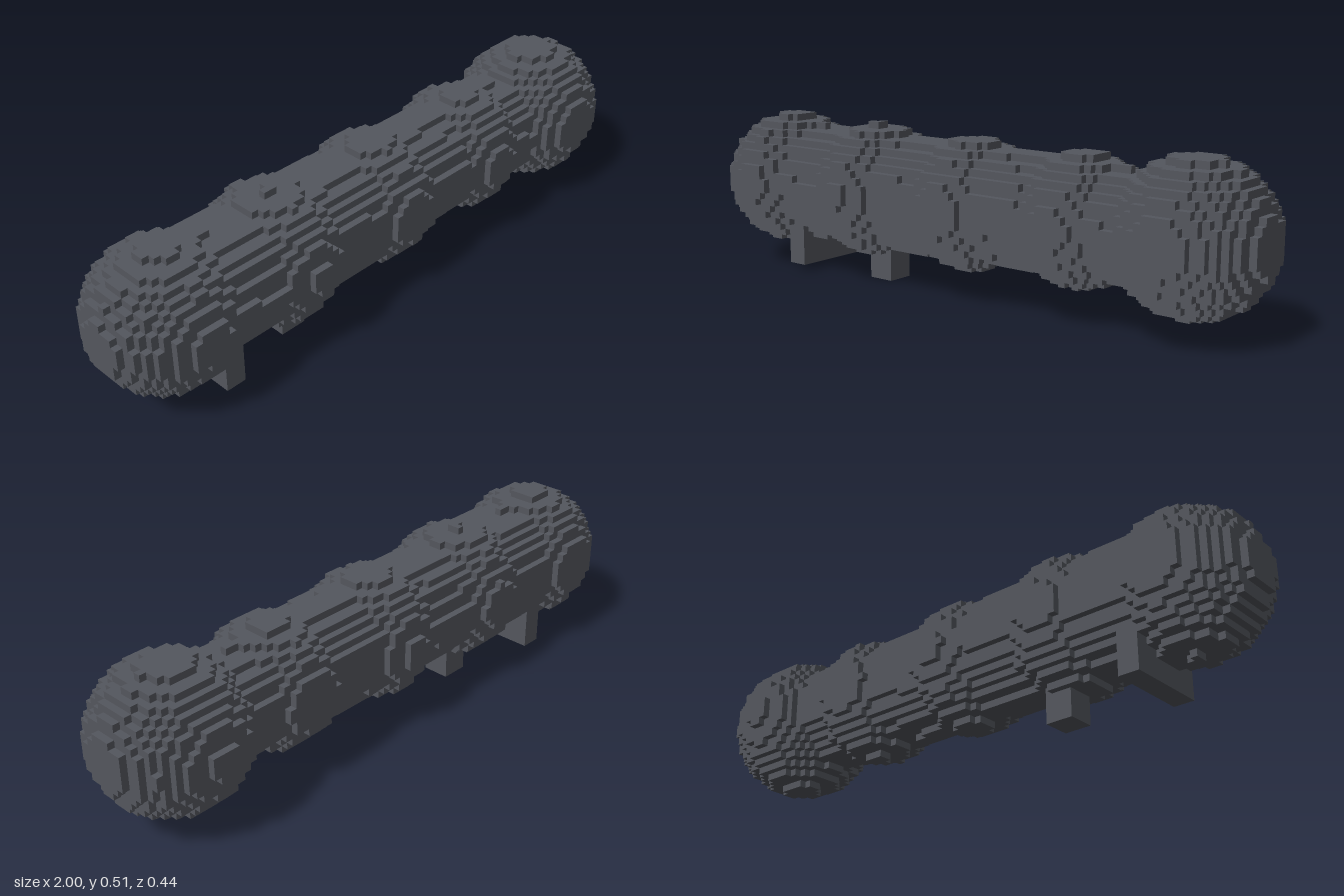
import * as THREE from 'three';

const U = 1 / 45;              // cube size
const CY = 0.292, CZ = 0.006;  // axis of the tube

// Rounded bulges along the tube: centre x, radius, stretch along x
const bulges = [
  { name: 'tailBall', x: -0.783, r: 0.215, s: 1.03 },
  { name: 'rearBulge', x: -0.392, r: 0.209, s: 1 },
  { name: 'middleBulge', x: 0.01, r: 0.2, s: 1 },
  { name: 'frontBulge', x: 0.412, r: 0.195, s: 1 },
  { name: 'headBall', x: 0.777, r: 0.222, s: 1.03 },
];

// Which part fills the cube at a grid cell (-1 empty, 0 tube, 1.. bulges)
function partAt(i, j, k) {
  const x = (i + 0.5) * U, y = (j + 0.5) * U - CY, z = (k + 0.5) * U - CZ;
  const d = Math.hypot(y, z);
  const tubeRadius = 0.1742 - 0.0186 * x;
  if (x > -0.78 && x < 0.77 && d < tubeRadius) return 0;
  return bulges.findIndex((b) => Math.hypot((x - b.x) / b.s, d) < b.r) + 1 || -1;
}

// Adds one square of a cube, facing along an axis
function addFace(positions, cell, axis, sign) {
  const a = (axis + 1) % 3, b = (axis + 2) % 3;
  const corner = (u, v) => {
    const p = [...cell];
    if (sign > 0) p[axis] += 1;
    p[a] += u;
    p[b] += v;
    return p.map((n) => n * U);
  };
  const [p, q, r, s] = [corner(0, 0), corner(1, 0), corner(1, 1), corner(0, 1)];
  const order = sign > 0 ? [p, q, r, p, r, s] : [p, r, q, p, s, r];
  order.forEach((c) => positions.push(...c));
}

export function createModel() {
  const group = new THREE.Group();
  const material = new THREE.MeshStandardMaterial({ color: 0x54575e });
  material.name = 'darkGrey';

  // Stepped tube and bulges: keep only the exposed cube faces
  const names = ['tube', ...bulges.map((b) => b.name)];
  const faces = names.map(() => []);
  for (let i = -45; i < 45; i++)
    for (let j = 0; j < 24; j++)
      for (let k = -11; k < 11; k++) {
        const part = partAt(i, j, k);
        if (part < 0) continue;
        for (let axis = 0; axis < 3; axis++)
          for (const sign of [-1, 1]) {
            const next = [i, j, k];
            next[axis] += sign;
            if (partAt(...next) < 0) addFace(faces[part], [i, j, k], axis, sign);
          }
      }
  names.forEach((name, n) => {
    const geometry = new THREE.BufferGeometry();
    geometry.setAttribute('position', new THREE.Float32BufferAttribute(faces[n], 3));
    geometry.computeVertexNormals();
    const mesh = new THREE.Mesh(geometry, material);
    mesh.name = name;
    group.add(mesh);
  });

  // Mounting blocks below, measured in cubes: x from/to, y from/to, half depth
  const blocks = [
    ['wideMount', -31, -28, 1, 8, 6],
    ['smallMount', -18, -14, 0, 6, 2],
  ];
  for (const [name, x0, x1, y0, y1, h] of blocks) {
    const mesh = new THREE.Mesh(
      new THREE.BoxGeometry((x1 - x0) * U, (y1 - y0) * U, 2 * h * U), material);
    mesh.position.set((x0 + x1) / 2 * U, (y0 + y1) / 2 * U, 0);
    mesh.name = name;
    group.add(mesh);
  }
  return group;
}
